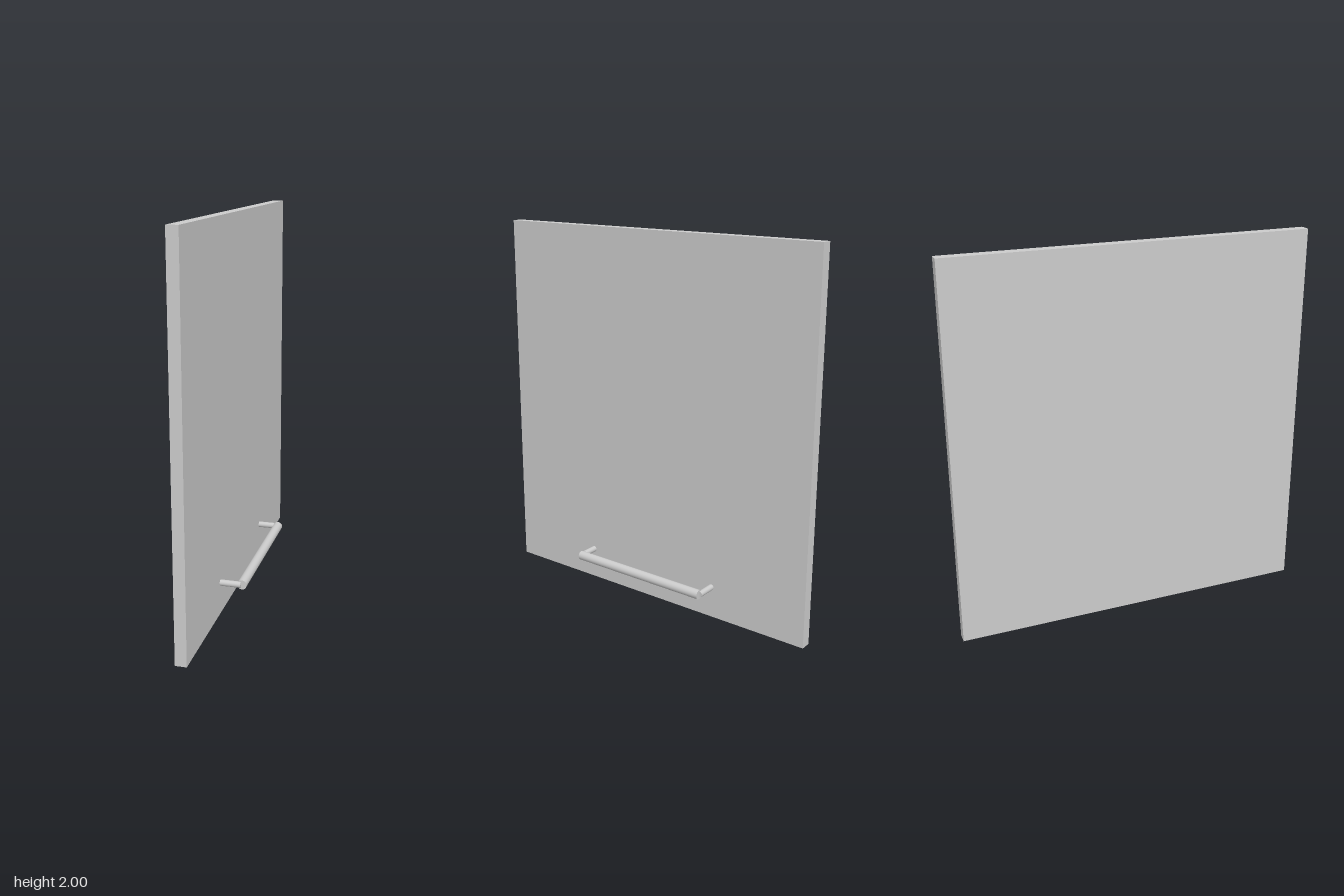
import * as THREE from 'three';

export function createModel() {
  const group = new THREE.Group();
  const material = new THREE.MeshStandardMaterial({ color: 0xcccccc });

  const add = (name, geometry, x, y, z) => {
    const mesh = new THREE.Mesh(geometry, material);
    mesh.name = name;
    mesh.position.set(x, y, z);
    group.add(mesh);
    return mesh;
  };

  // Flat door panel
  add('doorPanel', new THREE.BoxGeometry(0.058, 2, 1.914), -0.069, 1, 0);

  // Round handle bar running along z
  const handleY = 0.17, reach = 0.404;
  const bar = new THREE.CylinderGeometry(0.025, 0.025, reach * 2, 32).rotateX(Math.PI / 2);
  add('handleBar', bar, 0.072, handleY, 0);

  // Two posts joining the bar ends to the panel
  for (const side of [1, -1]) {
    const post = new THREE.CylinderGeometry(0.016, 0.016, 0.108, 24).rotateZ(Math.PI / 2);
    add(side > 0 ? 'frontHandlePost' : 'backHandlePost', post, 0.014, handleY, side * reach);
  }

  return group;
}
